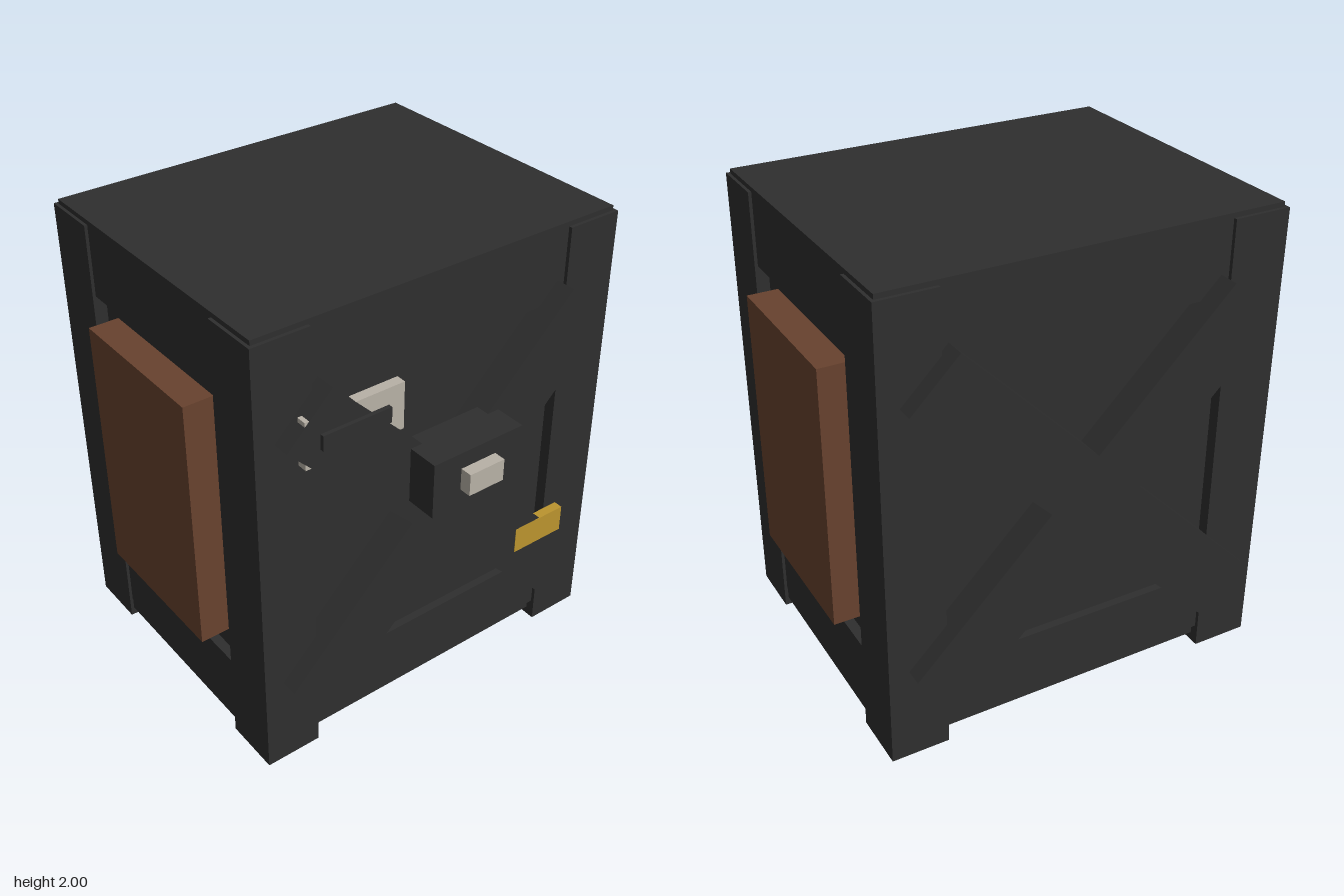
import * as THREE from 'three';

export function createModel() {
  const mat = (name, color) => {
    const m = new THREE.MeshStandardMaterial({ color });
    m.name = name;
    return m;
  };
  const iron = mat('dark iron', 0x2e2e2e);
  const leather = mat('brown leather', 0x68422e);
  const pale = mat('pale metal', 0xb8b1a6);
  const brass = mat('brass', 0xbb942e);

  const root = new THREE.Group();
  root.name = 'crate';

  // Box given by its minimum and maximum on each axis
  const box = (name, m, [x0, x1], [y0, y1], [z0, z1]) => {
    const mesh = new THREE.Mesh(new THREE.BoxGeometry(x1 - x0, y1 - y0, z1 - z0), m);
    mesh.position.set((x0 + x1) / 2, (y0 + y1) / 2, (z0 + z1) / 2);
    mesh.name = name;
    root.add(mesh);
    return mesh;
  };

  const midZ = -0.092; // the body sits behind the origin, the lock in front

  // Body: recessed core between a top cap and a bottom rail
  box('core', iron, [-0.79, 0.79], [0.1, 1.7], [midZ - 0.63, midZ + 0.63]);
  box('topCap', iron, [-0.832, 0.832], [1.675, 2], [midZ - 0.664, midZ + 0.664]);
  box('bottomRail', iron, [-0.832, 0.832], [0.115, 0.39], [midZ - 0.664, midZ + 0.664]);
  box('basePlate', iron, [-0.83, 0.83], [0.062, 0.115], [midZ - 0.64, midZ + 0.64]);

  // Corner posts and feet
  for (const sx of [-1, 1]) {
    for (const sz of [-1, 1]) {
      const post = box('cornerPost', iron, [-0.1225, 0.1225], [0.025, 1.98], [-0.1235, 0.1235]);
      post.position.x = sx * 0.7225;
      post.position.z = midZ + sz * 0.556;
      const foot = box('foot', iron, [-0.165, 0.165], [0, 0.07], [-0.165, 0.165]);
      foot.position.x = sx * 0.5;
      foot.position.z = midZ + sz * 0.335;
    }
    // Leather side pads
    const pad = box('sidePad', leather, [-0.065, 0.065], [0.487, 1.605], [-0.437, 0.25]);
    pad.position.x = sx * 0.853;
  }

  // Crossed braces on the front and back
  for (const sz of [-1, 1]) {
    for (const tilt of [-1, 1]) {
      const brace = box('crossBrace', iron, [-0.938, 0.938], [-0.138, 0.138], [-0.065, 0.065]);
      brace.position.set(0, 1.003, midZ + sz * 0.687);
      brace.rotation.z = tilt * Math.PI / 4;
    }
  }

  // Lock on the front
  box('lockBox', iron, [-0.215, 0.215], [1.12, 1.36], [0.6, 0.795]);
  box('lockFace', pale, [-0.083, 0.083], [1.195, 1.29], [0.78, 0.846]);

  // Label plate tucked under the brace, with a bar across it
  box('labelPlate', pale, [-0.683, -0.25], [1.465, 1.665], [0.615, 0.658]);
  box('labelBar', iron, [-0.62, -0.32], [1.53, 1.595], [0.63, 0.677]);

  // Small brass tag
  box('brassTag', brass, [0.37, 0.63], [0.575, 0.695], [0.622, 0.662]);

  return root;
}
